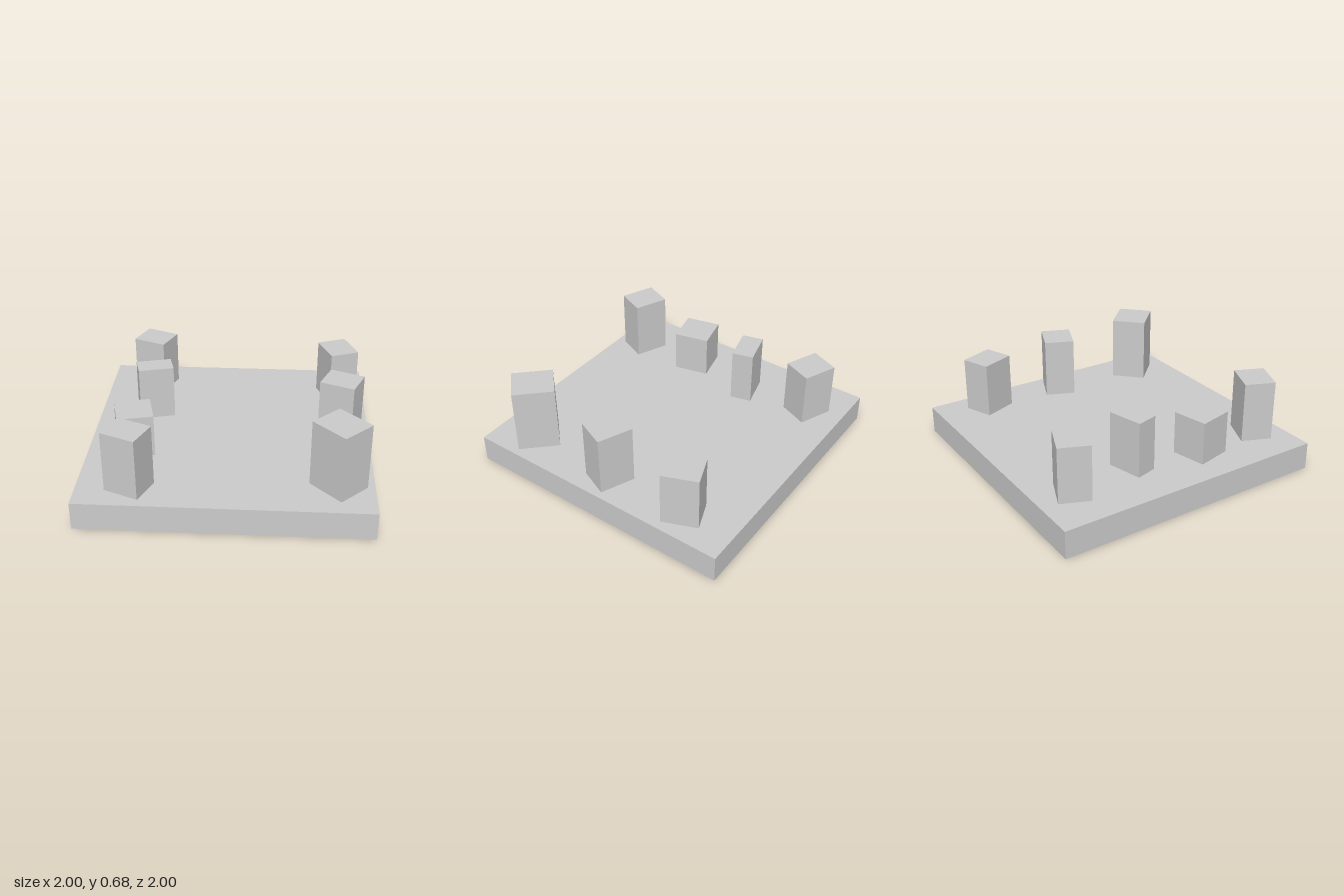
import * as THREE from 'three';

const BASE_HEIGHT = 0.2;

// x, z, width, depth, top height, turn in degrees
const PILLARS = [
  ['leftPillar1', -0.64, -0.73, 0.255, 0.22, 0.6, -22.9],
  ['leftPillar2', -0.585, -0.228, 0.257, 0.156, 0.6, 14.6],
  ['leftPillar3', -0.671, 0.285, 0.255, 0.256, 0.51, 13.3],
  ['leftPillar4', -0.64, 0.78, 0.255, 0.22, 0.64, -22.9],
  ['rightPillar1', 0.789, -0.612, 0.22, 0.256, 0.6, 21.5],
  ['rightPillar2', 0.79, 0, 0.255, 0.22, 0.64, -22.9],
  ['rightPillar3', 0.755, 0.688, 0.293, 0.257, 0.68, -45.6],
];

export function createModel() {
  const model = new THREE.Group();
  model.name = 'pillarsOnSlab';
  const material = new THREE.MeshStandardMaterial({ color: 0xcccccc, flatShading: true });

  // Box standing on the given height
  const addBlock = (name, x, z, width, depth, bottom, top, turn = 0) => {
    const mesh = new THREE.Mesh(new THREE.BoxGeometry(width, top - bottom, depth), material);
    mesh.name = name;
    mesh.position.set(x, (bottom + top) / 2, z);
    mesh.rotation.y = THREE.MathUtils.degToRad(turn);
    model.add(mesh);
  };

  // Square ground slab
  addBlock('baseSlab', 0, 0, 2, 2, 0, BASE_HEIGHT);

  // Turned pillars along both side edges
  for (const [name, x, z, width, depth, top, turn] of PILLARS) {
    // The model's left is +x
    const label = name.replace(/^(left|right)/, x > 0 ? 'left' : 'right');
    addBlock(label, x, z, width, depth, BASE_HEIGHT, top, turn);
  }
  return model;
}
